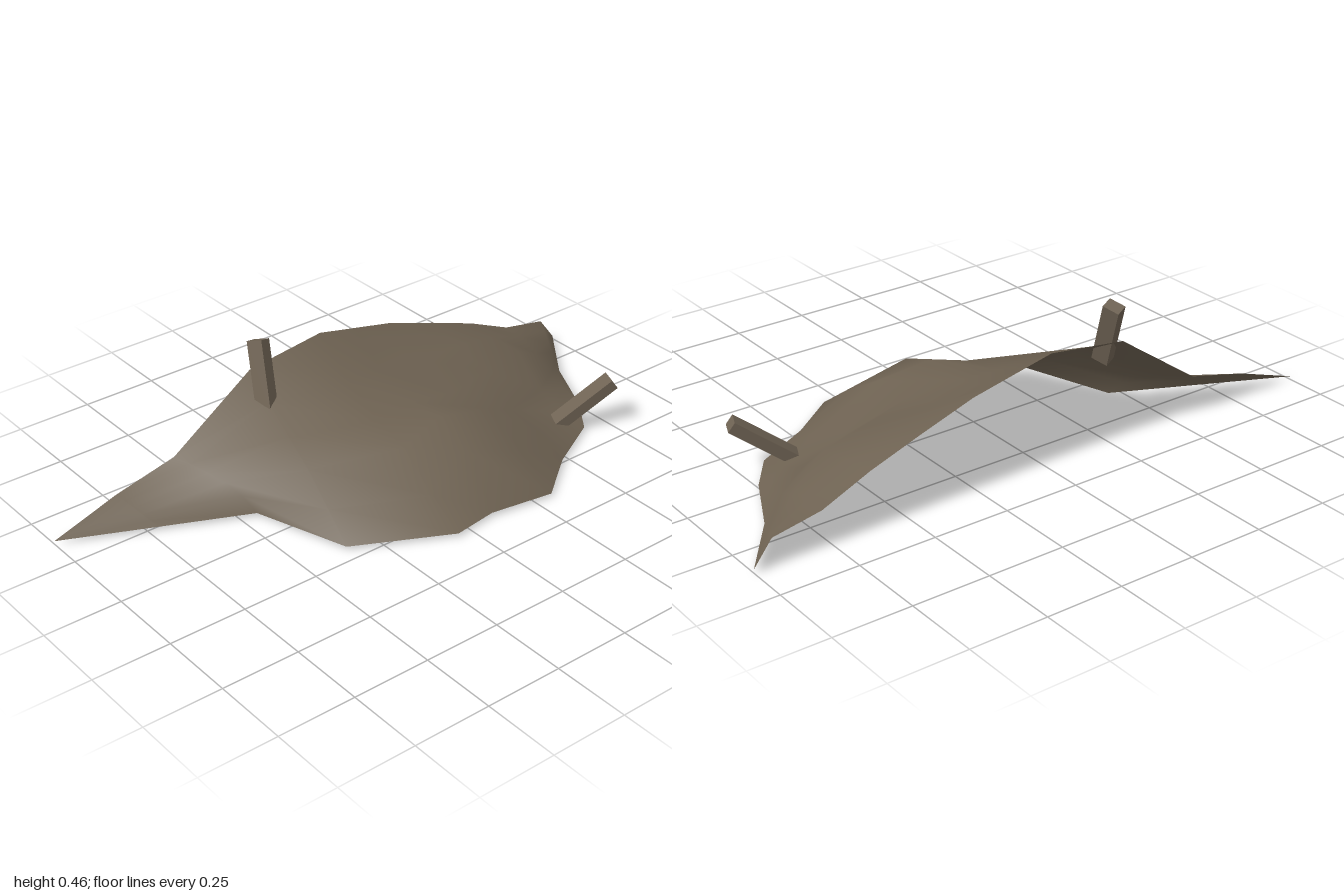
import * as THREE from 'three';

export function createModel() {
  const model = new THREE.Group();
  const earth = new THREE.MeshStandardMaterial({ color: 0x6e6252, side: THREE.DoubleSide });
  earth.name = 'earth brown';
  const wood = new THREE.MeshStandardMaterial({ color: 0x6f6354 });
  wood.name = 'weathered wood';

  // Mound: each strip runs from the straight back edge to the ground outline.
  // [back x, front x, front z, heights from back to front]
  const rows = [0, 0.2, 0.42, 0.62, 0.82, 1];
  const backZ = -0.365, ground = 0.012;
  const strips = [
    [-1, -1, -0.365, [0.012, 0.012, 0.012, 0.012, 0.012]],
    [-0.78, -0.72, -0.235, [0.085, 0.07, 0.055, 0.04, 0.025]],
    [-0.57, -0.45, -0.11, [0.135, 0.125, 0.11, 0.09, 0.06]],
    [-0.28, -0.35, 0.2, [0.335, 0.275, 0.215, 0.16, 0.085]],
    [-0.01, -0.05, 0.355, [0.37, 0.275, 0.2, 0.17, 0.075]],
    [0.13, 0.1, 0.335, [0.34, 0.25, 0.205, 0.22, 0.168]],
    [0.27, 0.31, 0.37, [0.31, 0.235, 0.19, 0.19, 0.105]],
    [0.45, 0.47, 0.25, [0.25, 0.215, 0.18, 0.09, 0.065]],
    [0.62, 0.66, 0.15, [0.19, 0.18, 0.168, 0.07, 0.028]],
    [0.78, 0.75, 0.03, [0.12, 0.12, 0.095, 0.055, 0.03]],
    [0.94, 0.85, -0.17, [0.09, 0.075, 0.055, 0.04, 0.025]],
    [1, 1, -0.365, [0.012, 0.012, 0.012, 0.012, 0.012]],
  ];
  const positions = [], indices = [];
  const n = rows.length;
  strips.forEach(([bx, fx, fz, heights], i) => {
    rows.forEach((v, j) => {
      positions.push(
        THREE.MathUtils.lerp(bx, fx, v),
        j < n - 1 ? heights[j] : ground,
        THREE.MathUtils.lerp(backZ, fz, v));
      if (i > 0 && j > 0) {
        const d = i * n + j, c = d - 1, b = d - n, a = b - 1;
        indices.push(a, b, d, a, d, c);
      }
    });
  });
  const geometry = new THREE.BufferGeometry();
  geometry.setAttribute('position', new THREE.Float32BufferAttribute(positions, 3));
  geometry.setIndex(indices);
  geometry.computeVertexNormals();
  const mound = new THREE.Mesh(geometry, earth);
  mound.name = 'mound';
  model.add(mound);

  // Planks stuck in the mound, each a box laid between two end points
  function plank(name, from, to, width, thickness, up) {
    const a = new THREE.Vector3(...from), b = new THREE.Vector3(...to);
    const mesh = new THREE.Mesh(new THREE.BoxGeometry(width, thickness, a.distanceTo(b)), wood);
    mesh.name = name;
    mesh.up.set(...up);
    mesh.position.copy(a).add(b).multiplyScalar(0.5);
    mesh.lookAt(b);
    model.add(mesh);
  }
  plank('uprightPlank', [-0.295, 0.235, -0.257], [-0.262, 0.443, -0.341], 0.042, 0.054, [0.35, 0, 1]);
  plank('leaningPlank', [0.572, 0.016, 0.086], [0.757, 0.158, 0.165], 0.058, 0.036, [0, 1, 0]);

  return model;
}
